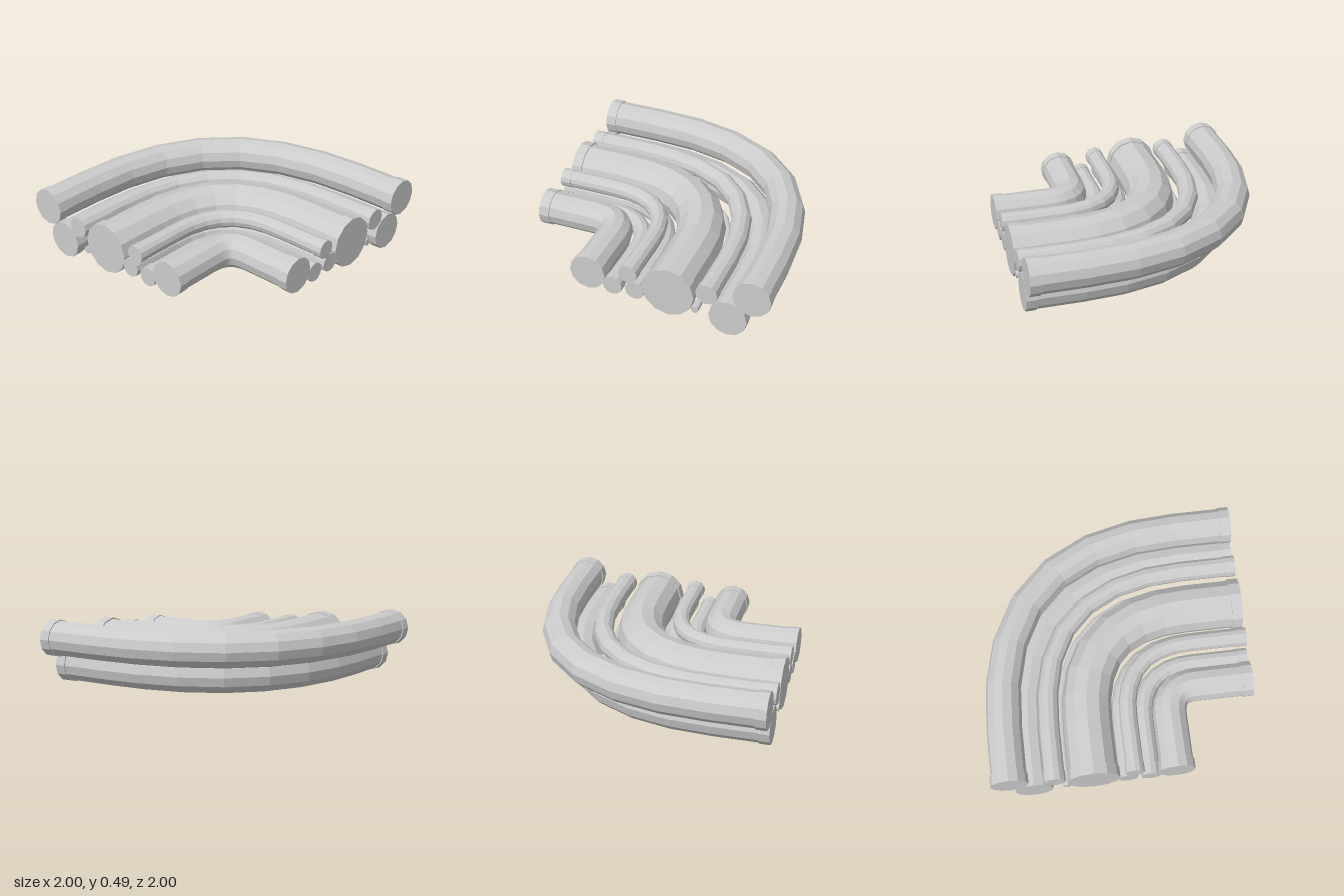
import * as THREE from 'three';

const SIDES = 12;
const BEND_START = -0.58; // where every straight run turns into its bend
const COLLAR = 0.08;

// [name, offset from the corner axis, height, end radius]
const PIPES = [
  ['innerPipe', -0.36, 0.24, 0.134],
  ['innerLowThinPipe', -0.17, 0.178, 0.073],
  ['innerHighThinPipe', -0.05, 0.308, 0.07],
  ['middleLowThinPipe', 0, 0.183, 0.072],
  ['mainPipe', 0.25, 0.238, 0.192],
  ['finePipe', 0.45, 0.146, 0.027],
  ['outerThinPipe', 0.535, 0.302, 0.08],
  ['outerLowPipe', 0.69, 0.14, 0.14],
  ['outerHighPipe', 0.86, 0.352, 0.138],
];

// Stations along one pipe: position, direction and radius, from the left end to the front end
function pipeStations(a, r) {
  const body = r * 0.945;
  const bend = new THREE.QuadraticBezierCurve(
    new THREE.Vector2(BEND_START, -a),
    new THREE.Vector2(a, -a),
    new THREE.Vector2(a, -BEND_START)
  );
  const left = (x, rad) => ({ p: new THREE.Vector2(x, -a), t: new THREE.Vector2(1, 0), rad });
  const front = (z, rad) => ({ p: new THREE.Vector2(a, z), t: new THREE.Vector2(0, 1), rad });
  const stations = [left(-1, 0), left(-1, r), left(-1 + COLLAR, r), left(-1 + COLLAR, body)];
  for (let i = 0; i <= 7; i++) {
    stations.push({ p: bend.getPointAt(i / 7), t: bend.getTangentAt(i / 7), rad: body });
  }
  stations.push(front(1 - COLLAR, body), front(1 - COLLAR, r), front(1, r), front(1, 0));
  return stations;
}

// Sweep a polygon through the stations; zero radius stations close the ends
function pipeGeometry(a, y, r) {
  const stations = pipeStations(a, r);
  const positions = [];
  const index = [];
  for (const { p, t, rad } of stations) {
    for (let j = 0; j < SIDES; j++) {
      const angle = (j / SIDES) * Math.PI * 2;
      const side = Math.cos(angle) * rad;
      positions.push(p.x - t.y * side, y + Math.sin(angle) * rad, p.y + t.x * side);
    }
  }
  for (let i = 0; i < stations.length - 1; i++) {
    for (let j = 0; j < SIDES; j++) {
      const k = (j + 1) % SIDES;
      const n = i * SIDES;
      const m = n + SIDES;
      if (stations[i].rad > 0) index.push(n + j, m + j, n + k);
      if (stations[i + 1].rad > 0) index.push(m + j, m + k, n + k);
    }
  }
  const geometry = new THREE.BufferGeometry();
  geometry.setAttribute('position', new THREE.Float32BufferAttribute(positions, 3));
  geometry.setIndex(index);
  geometry.computeVertexNormals();
  return geometry;
}

export function createModel() {
  const group = new THREE.Group();
  group.name = 'pipeBundle';
  const material = new THREE.MeshStandardMaterial({ color: 0xcccccc, flatShading: true });
  for (const [name, a, y, r] of PIPES) {
    const pipe = new THREE.Mesh(pipeGeometry(a, y, r), material);
    pipe.name = name;
    group.add(pipe);
  }
  return group;
}
